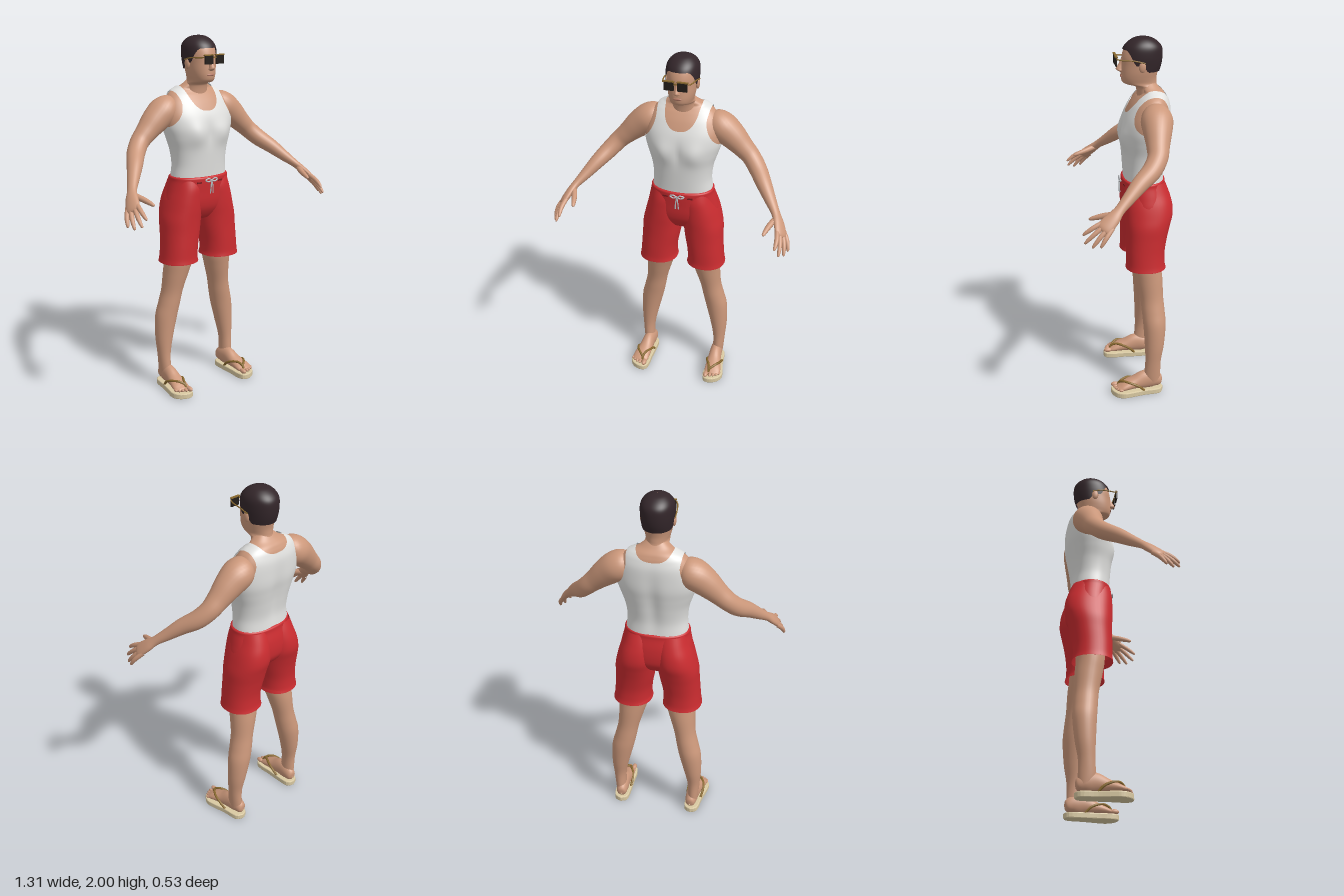
import * as THREE from 'three';

const V = (x, y, z) => new THREE.Vector3(x, y, z);
const paint = (name, color, side = THREE.FrontSide) => {
  const m = new THREE.MeshStandardMaterial({ color, side });
  m.name = name;
  return m;
};

// Smooth interpolation between the rows of a section table
function spline(rows, t) {
  const s = t * (rows.length - 1), k = Math.min(Math.floor(s), rows.length - 2), u = s - k;
  const at = i => rows[Math.max(0, Math.min(rows.length - 1, i))];
  return rows[k].map((b, c) => {
    const a = at(k - 1)[c], d = at(k + 1)[c], e = at(k + 2)[c];
    return b + 0.5 * u * (d - a + u * (2 * a - 5 * b + 4 * d - e + u * (3 * (b - d) + e - a)));
  });
}

// Skin over cross-sections. Upright rows: [x, y, halfWidth, zFront, zBack].
// Otherwise rows along a path: [x, y, z, radiusAcross, radiusThick], "across" being the width direction.
function loft(rows, { across = null, power = 2, n = 28, steps = 5, warp = null } = {}) {
  const m = (rows.length - 1) * steps, pos = [], index = [];
  for (let i = 0; i <= m; i++) {
    const t = i / m, r = spline(rows, t);
    let c, A = V(1, 0, 0), B = V(0, 0, 1), a, b;
    if (across) {
      const p = spline(rows, Math.max(0, t - 0.01)), q = spline(rows, Math.min(1, t + 0.01));
      const T = V(q[0] - p[0], q[1] - p[1], q[2] - p[2]).normalize();
      c = V(r[0], r[1], r[2]);
      A = across.clone().addScaledVector(T, -across.dot(T)).normalize();
      B = A.clone().cross(T);
      [a, b] = [r[3], r[4]];
    } else {
      c = V(r[0], r[1], (r[3] + r[4]) / 2);
      [a, b] = [r[2], (r[3] - r[4]) / 2];
    }
    for (let j = 0; j < n; j++) {
      const th = j / n * Math.PI * 2, e = 2 / power, f = v => Math.sign(v) * Math.abs(v) ** e;
      const p = c.clone().addScaledVector(A, a * f(Math.cos(th))).addScaledVector(B, b * f(Math.sin(th)));
      if (warp) warp(p);
      pos.push(p.x, p.y, p.z);
      if (i < m) {
        const k = i * n + j, l = i * n + (j + 1) % n;
        index.push(k, k + n, l, l, k + n, l + n);
      }
    }
  }
  const g = new THREE.BufferGeometry();
  g.setAttribute('position', new THREE.Float32BufferAttribute(pos, 3));
  g.setIndex(index);
  g.computeVertexNormals();
  return g;
}

// Part of a surface where field(p) > 0, moved outwards: cloth or hair lying on the body
function layer(geo, field, lift) {
  const P = geo.attributes.position, N = geo.attributes.normal, I = geo.index.array, pos = [], nor = [];
  const verts = [];
  for (let i = 0; i < P.count; i++) {
    const p = V().fromBufferAttribute(P, i);
    verts.push({ p, n: V().fromBufferAttribute(N, i), f: field(p) });
  }
  for (let i = 0; i < I.length; i += 3) {
    const poly = [];
    for (let j = 0; j < 3; j++) {
      const a = verts[I[i + j]], b = verts[I[i + (j + 1) % 3]];
      if (a.f > 0) poly.push(a);
      if ((a.f > 0) !== (b.f > 0)) {
        const t = a.f / (a.f - b.f);
        poly.push({ p: a.p.clone().lerp(b.p, t), n: a.n.clone().lerp(b.n, t).normalize() });
      }
    }
    for (let j = 2; j < poly.length; j++) for (const v of [poly[0], poly[j - 1], poly[j]]) {
      pos.push(...v.p.clone().addScaledVector(v.n, lift).toArray());
      nor.push(...v.n.toArray());
    }
  }
  const g = new THREE.BufferGeometry();
  g.setAttribute('position', new THREE.Float32BufferAttribute(pos, 3));
  g.setAttribute('normal', new THREE.Float32BufferAttribute(nor, 3));
  return g;
}

function mirror(geo) {
  const g = geo.clone().scale(-1, 1, 1);
  const I = g.index ? Array.from(g.index.array) : Array.from({ length: g.attributes.position.count }, (_, i) => i);
  for (let i = 0; i < I.length; i += 3) [I[i + 1], I[i + 2]] = [I[i + 2], I[i + 1]];
  g.setIndex(I);
  return g;
}

const tube = (pts, r) => new THREE.TubeGeometry(new THREE.CatmullRomCurve3(pts.map(p => V(...p))), 24, r, 8);
const ball = (x, y, z, a, b, c) => new THREE.SphereGeometry(1, 16, 12).scale(a, b, c).translate(x, y, z);
const box = (x, y, z, a, b, c) => new THREE.BoxGeometry(a, b, c).translate(x, y, z);

export function createModel() {
  const model = new THREE.Group();
  model.name = 'man';
  const skin = paint('skin', 0xcc987b), white = paint('white cotton', 0xe2e2e0, THREE.DoubleSide);
  const red = paint('red cloth', 0xcb2c30, THREE.DoubleSide), hair = paint('dark hair', 0x33262a, THREE.DoubleSide);
  const sole = paint('cream rubber', 0xd9c9a2), gold = paint('brown gold', 0x8a6a30);
  const lens = paint('dark lens', 0x221d19), cord = paint('grey cord', 0xb9bcc0);
  const darkRed = paint('dark red', 0x7c1b1f), lip = paint('lip', 0xb57a66);
  const add = (name, geo, mat) => {
    const mesh = new THREE.Mesh(geo, mat);
    mesh.name = name;
    model.add(mesh);
  };
  const pair = (name, geo, mat) => {
    add(name + 'Left', geo, mat);
    add(name + 'Right', mirror(geo), mat);
  };

  // Torso with chest muscles and a spine groove
  const bump = (d, w) => Math.exp(-(d * d) / (w * w));
  const torso = loft([
    [0, 1.18, .165, -.02, -.225], [0, 1.24, .16, -.017, -.22], [0, 1.31, .154, -.012, -.217],
    [0, 1.39, .164, -.006, -.228], [0, 1.46, .186, -.002, -.24], [0, 1.52, .203, -.004, -.25],
    [0, 1.58, .205, -.018, -.252], [0, 1.64, .19, -.047, -.25], [0, 1.68, .165, -.075, -.24],
    [0, 1.702, .14, -.095, -.23], [0, 1.717, .112, -.105, -.22], [0, 1.735, .08, -.1, -.2], [0, 1.76, .05, -.1, -.18],
  ], {
    power: 2.25, n: 96, steps: 7, warp: p => {
      const y = bump(p.y - 1.48, .06);
      if (p.z > -.1) p.z += y * (.016 * bump(Math.abs(p.x) - .085, .05) - .006 * bump(p.x, .02));
      else p.z += .014 * bump(p.x, .04) * bump(p.y - 1.42, .17);
    },
  });
  add('torso', torso, skin);

  // Tank top: armholes and scooped neckline
  add('tankTop', layer(torso, p => {
    const low = Math.max(0, (1.66 - p.y) / .145), high = Math.max(0, (p.y - 1.66) / .06);
    const arm = p.y < 1.515 ? .1 : .135 + .075 * low ** 2 + .008 * high - Math.abs(p.x);
    const depth = THREE.MathUtils.mapLinear(THREE.MathUtils.clamp(p.z, -.2, -.08), -.2, -.08, .08, .16);
    const neck = (Math.abs(p.x) / .097) ** 2.5 + (Math.max(0, 1.76 - p.y) / depth) ** 2.5 - 1;
    return Math.min(arm, neck * .06);
  }, .007), white);

  // Neck and head
  const head = loft([
    [0, 1.66, .075, -.085, -.22], [0, 1.72, .065, -.08, -.2], [0, 1.744, .063, -.068, -.19],
    [0, 1.754, .061, -.025, -.187], [0, 1.766, .061, -.004, -.186], [0, 1.79, .067, .003, -.186],
    [0, 1.82, .073, .003, -.192], [0, 1.86, .077, .001, -.204], [0, 1.9, .08, -.001, -.209],
    [0, 1.94, .078, -.014, -.207], [0, 1.965, .067, -.034, -.19], [0, 1.984, .046, -.062, -.162],
    [0, 1.992, .024, -.088, -.135], [0, 1.994, .001, -.11, -.112],
  ], { n: 64, steps: 6, power: 2.1 });
  add('head', head, skin);
  const step = THREE.MathUtils.smoothstep;
  add('hair', layer(head, p =>
    p.y - (1.825 + .035 * step(p.z, -.135, -.1) + .075 * step(p.z, -.075, -.025)), .007), hair);
  add('nose', loft([
    [0, 1.817, .003, .006, -.01], [0, 1.825, .016, .022, -.01], [0, 1.836, .014, .03, -.01],
    [0, 1.86, .009, .016, -.01], [0, 1.89, .007, .002, -.01],
  ], { n: 16 }), skin);
  add('lips', ball(0, 1.797, .001, .024, .007, .006), lip);
  pair('ear', ball(.081, 1.855, -.1, .011, .03, .019), skin);

  // Sunglasses
  pair('lens', box(.036, 1.88, .033, .052, .046, .008), lens);
  pair('lensRim', box(.036, 1.905, .032, .058, .006, .012), gold);
  pair('temple', tube([[.064, 1.895, .032], [.074, 1.892, .01], [.086, 1.888, -.06], [.088, 1.875, -.115]], .0035), gold);
  add('noseBridge', box(0, 1.892, .033, .024, .007, .007), gold);

  // Arms, palms and fingers
  const W = V(.5, -.4, -.77);
  pair('arm', loft([
    [.12, 1.625, -.16, .03, .03], [.15, 1.62, -.16, .068, .068], [.2, 1.6, -.16, .084, .08],
    [.26, 1.555, -.155, .074, .073], [.32, 1.5, -.148, .06, .058], [.37, 1.453, -.138, .053, .05],
    [.418, 1.402, -.1, .05, .047], [.467, 1.353, -.035, .043, .04], [.515, 1.3, .025, .033, .03],
    [.555, 1.257, .075, .027, .021], [.579, 1.225, .11, .036, .02], [.6, 1.19, .15, .041, .017],
    [.607, 1.176, .167, .031, .011], [.609, 1.171, .172, .001, .001],
  ], { across: W }), skin);
  const finger = (name, pts, r) => pair(name, loft(pts.map((p, i) => {
    const k = r * [1, 1, .82, .5, .02][i];
    return [...p, k, k];
  }), { across: W, n: 12, steps: 3 }), skin);
  const fingers = [
    ['indexFinger', V(.582, 1.2, .172), V(.588, 1.146, .262)], ['middleFinger', V(.593, 1.19, .157), V(.611, 1.11, .256)],
    ['ringFinger', V(.604, 1.181, .141), V(.633, 1.094, .22)], ['littleFinger', V(.614, 1.173, .125), V(.648, 1.1, .18)],
  ];
  for (const [name, a, b] of fingers) finger(name, [-.15, .4, .75, .96, 1].map(t => {
    const p = a.clone().lerp(b, t);
    const lift = .012 * Math.max(0, t * (1 - t));
    return [p.x + lift * 2, p.y + lift * 2, p.z];
  }), .0125);
  finger('thumb', [[.562, 1.238, .095], [.541, 1.225, .145], [.528, 1.213, .19], [.521, 1.204, .22], [.52, 1.202, .226]], .0155);

  // Legs
  pair('leg', loft([
    [.217, .07, .03, -.115, -.195], [.22, .11, .031, -.105, -.197], [.222, .2, .036, -.11, -.198],
    [.215, .3, .05, -.107, -.215], [.198, .42, .063, -.1, -.226], [.18, .5, .062, -.093, -.222],
    [.163, .58, .061, -.085, -.215], [.145, .68, .073, -.065, -.212], [.13, .77, .085, -.05, -.205],
    [.12, .9, .085, -.05, -.205],
  ]), skin);

  // Shorts: two leg tubes with folded hems, joined by a hip piece
  pair('shortsLeg', loft([
    [.138, .8, .097, -.02, -.215], [.14, .757, .109, -.007, -.228], [.14, .785, .104, -.01, -.222],
    [.135, .85, .103, -.01, -.222], [.125, .93, .108, -.01, -.235], [.118, 1, .111, -.008, -.252],
    [.108, 1.06, .108, -.005, -.267], [.1, 1.12, .1, -.004, -.264], [.09, 1.18, .09, -.006, -.247],
    [.085, 1.235, .08, -.02, -.225],
  ], { n: 40, power: 2.2 }), red);
  add('shortsHips', loft([
    [0, .985, .03, -.09, -.15], [0, 1, .12, -.055, -.2], [0, 1.05, .195, -.02, -.24],
    [0, 1.1, .203, -.006, -.25], [0, 1.16, .191, -.002, -.247], [0, 1.215, .178, .001, -.235],
    [0, 1.238, .175, 0, -.232], [0, 1.244, .16, -.015, -.218],
  ], { n: 56, power: 2.2 }), red);

  // Drawstring and eyelets
  pair('bowLoop', tube([[0, 1.222, .008], [.02, 1.234, .012], [.04, 1.226, .008], [.02, 1.217, .012], [0, 1.222, .008]], .004), cord);
  pair('cordEnd', tube([[0, 1.222, .01], [.006, 1.19, .013], [.009, 1.15, .01]], .0035), cord);
  pair('eyelet', box(.07, 1.213, -.003, .03, .009, .008).rotateY(.08), darkRed);

  // Feet and toes
  pair('foot', loft([
    [.209, .06, -.207, .004, .004], [.21, .063, -.196, .026, .03], [.212, .077, -.16, .034, .05],
    [.215, .08, -.11, .036, .055], [.219, .067, -.05, .041, .038], [.225, .056, 0, .047, .027],
    [.228, .048, .03, .047, .019], [.23, .045, .05, .036, .011], [.23, .044, .055, .002, .002],
  ], { across: V(1, 0, 0) }), skin);
  [[.195, .06, .014], [.221, .06, .0095], [.24, .053, .009], [.257, .044, .0085], [.271, .032, .008]]
    .forEach(([x, z, r], i) => pair('toe' + (i + 1), ball(x, .046, z, r, r, r * 1.8), skin));

  // Flip-flops
  const outline = new THREE.Shape(new THREE.SplineCurve([
    [.213, .207], [.248, .185], [.259, .1], [.274, .03], [.281, -.02], [.262, -.058], [.222, -.079],
    [.187, -.072], [.176, -.03], [.178, .03], [.176, .1], [.18, .185], [.213, .207],
  ].map(p => new THREE.Vector2(...p))).getPoints(48));
  const slab = new THREE.ExtrudeGeometry(outline, {
    depth: .022, bevelEnabled: true, bevelSize: .005, bevelThickness: .005, bevelSegments: 2,
  }).rotateX(-Math.PI / 2).translate(0, .005, 0);
  pair('sandalSole', slab, sole);
  const post = [[.209, .032, .05], [.21, .066, .04]];
  pair('outerStrap', tube([...post, [.236, .084, .015], [.259, .08, -.025], [.264, .06, -.07], [.257, .03, -.1]], .007), gold);
  pair('innerStrap', tube([...post, [.2, .083, .01], [.183, .08, -.025], [.174, .06, -.07], [.178, .03, -.1]], .007), gold);

  return model;
}
